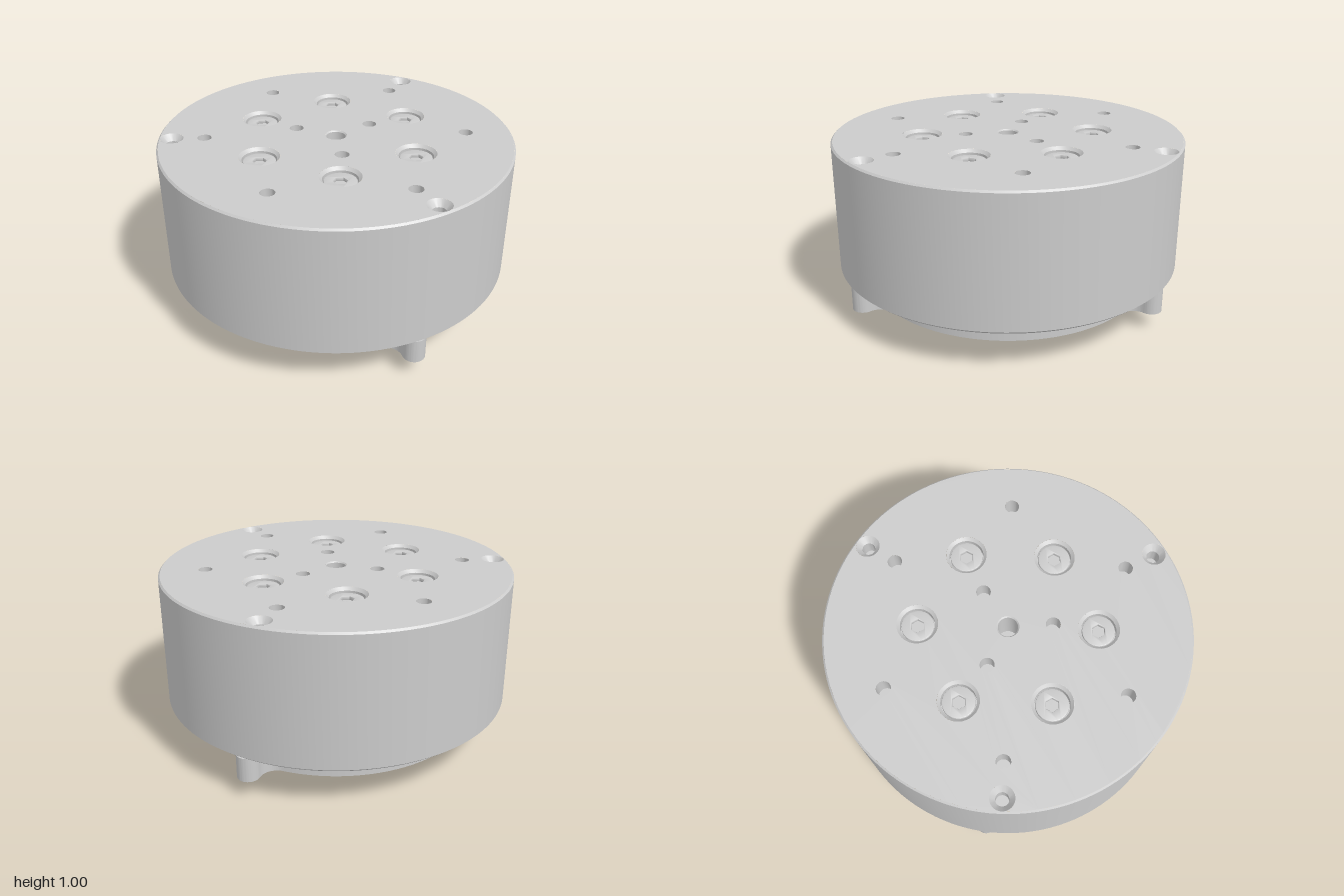
import * as THREE from 'three';
import { toCreasedNormals } from 'three/addons/utils/BufferGeometryUtils.js';

const grey = new THREE.MeshStandardMaterial({ color: 0xcccccc });
const rad = THREE.MathUtils.degToRad;

// n points on a circle of radius r, as [x, z]
const ring = (n, r, startDeg) => Array.from({ length: n }, (_, i) => {
  const a = rad(startDeg + i * 360 / n);
  return [r * Math.cos(a), r * Math.sin(a)];
});

const circle = (x, y, r) => new THREE.Path().absarc(x, y, r, 0, Math.PI * 2, false);

function add(parent, name, geo, x = 0, y = 0, z = 0) {
  const mesh = new THREE.Mesh(toCreasedNormals(geo, 0.5), grey);
  mesh.name = name;
  mesh.position.set(x, y, z);
  parent.add(mesh);
  return mesh;
}

const lathe = (pts, seg = 28) => new THREE.LatheGeometry(pts.map(p => new THREE.Vector2(...p)), seg);

// Flat disc with holes [x, z, r], facing up or down
function disc(r, holes, up) {
  const s = new THREE.Shape().absarc(0, 0, r, 0, Math.PI * 2, false);
  for (const [x, z, hr] of holes) s.holes.push(circle(x, up ? -z : z, hr));
  return new THREE.ShapeGeometry(s, 48).rotateX(up ? -Math.PI / 2 : Math.PI / 2);
}

// Plate hanging from y = 0 down to y = -depth
const plate = (shape, depth, bevel = 0) => new THREE.ExtrudeGeometry(shape, {
  depth: depth - 2 * bevel, curveSegments: 24, bevelEnabled: bevel > 0,
  bevelSize: bevel, bevelOffset: -bevel, bevelThickness: bevel, bevelSegments: 2,
}).rotateX(Math.PI / 2).translate(0, -bevel, 0);

// Socket head cap screw, base on y = 0, head facing up
function capScrew(r, h, socket) {
  const g = new THREE.Group();
  const s = new THREE.Shape().absarc(0, 0, r, 0, Math.PI * 2, false);
  s.holes.push(new THREE.Path(ring(6, socket, 30).map(p => new THREE.Vector2(...p))));
  add(g, 'screwHead', plate(s, h * 0.7, 0.006), 0, h, 0);
  add(g, 'socketFloor', new THREE.CylinderGeometry(r * 0.95, r * 0.95, h * 0.4, 24), 0, h * 0.2, 0);
  return g;
}

// Flange outline: a round disc with three filleted lugs
function flangeShape(R, lugDist, lugR, fillet, startDeg) {
  const s = new THREE.Shape();
  const a = R + fillet, b = lugR + fillet;
  const alpha = Math.acos((a * a + lugDist * lugDist - b * b) / (2 * a * lugDist));
  for (let i = 0; i < 3; i++) {
    const t = rad(startDeg + i * 120);
    const lx = lugDist * Math.cos(t), ly = lugDist * Math.sin(t);
    const c1 = [a * Math.cos(t - alpha), a * Math.sin(t - alpha)];
    const c2 = [a * Math.cos(t + alpha), a * Math.sin(t + alpha)];
    const in1 = Math.atan2(c1[1] - ly, c1[0] - lx), out1 = Math.atan2(c2[1] - ly, c2[0] - lx);
    s.absarc(...c1, fillet, t - alpha + Math.PI, in1 + Math.PI, true);
    s.absarc(lx, ly, lugR, in1, out1, false);
    s.absarc(...c2, fillet, out1 + Math.PI, t + alpha + Math.PI, true);
    s.absarc(0, 0, R, t + alpha, t + rad(120) - alpha, false);
  }
  s.closePath();
  return s;
}

export function createModel() {
  const model = new THREE.Group();

  // Drum body with chamfered rims
  add(model, 'bodyShell', lathe([[0.98, 0.245], [1, 0.262], [1, 0.99], [0.99, 1]], 128));

  // Top face and the pits below its holes; profiles run down from the rim
  const kinds = [
    ['centreBore', [[0, 0]], [[0.062, 1], [0.055, 0.993], [0.055, 0.8], [0, 0.8]]],
    ['innerHole', ring(3, 0.245, -2), [[0.04, 1], [0.04, 0.9], [0, 0.9]]],
    ['outerHole', ring(6, 0.74, 33), [[0.04, 1], [0.04, 0.88], [0, 0.88]]],
    ['boltRecess', ring(6, 0.49, 3), [[0.113, 1], [0.096, 0.983], [0.096, 0.94], [0, 0.94]]],
    ['countersink', ring(3, 0.923, 93), [[0.066, 1], [0.036, 0.965], [0.036, 0.88], [0, 0.88]]],
  ];
  const topHoles = [];
  for (const [name, spots, profile] of kinds) {
    for (const [x, z] of spots) {
      topHoles.push([x, z, profile[0][0]]);
      add(model, name, lathe(profile), x, 0, z);
      if (name === 'boltRecess') {
        const bolt = capScrew(0.09, 0.035, 0.038);
        bolt.name = 'topBolt';
        bolt.position.set(x, 0.94, z);
        model.add(bolt);
      }
    }
  }
  add(model, 'topFace', disc(0.99, topHoles, true), 0, 1, 0);

  // Underside with three small holes
  const underHoles = ring(3, 0.42, 15).map(p => [...p, 0.028]);
  add(model, 'underside', disc(0.98, underHoles, false), 0, 0.245, 0);
  for (const [x, z, r] of underHoles) {
    add(model, 'undersideHole', lathe([[0, 0.32], [r, 0.32], [r, 0.245]].reverse().map(([a, b]) => [a, -b]))
      .rotateX(Math.PI), x, 0, z);
  }

  // Mounting flange with three lugs
  const flange = flangeShape(0.815, 0.928, 0.062, 0.09, 99.3);
  flange.holes.push(circle(0, 0, 0.645));
  for (const [x, z] of ring(6, 0.745, 39.3)) flange.holes.push(circle(x, z, 0.043));
  for (const [x, z] of ring(3, 0.928, 99.3)) flange.holes.push(circle(x, z, 0.034));
  add(model, 'mountingFlange', plate(flange, 0.14), 0, 0.245, 0);
  // Sloped step inside the flange bore
  add(model, 'boreStep', lathe([[0.645, 0.215], [0.59, 0.225], [0.59, 0.245]], 96));

  // Cover: square plate with cut corners
  const w = 0.408, c = 0.1;
  const base = new THREE.Shape([
    [w, c - w], [w, w - c], [w - c, w], [c - w, w], [-w, w - c], [-w, c - w], [c - w, -w], [w - c, -w],
  ].map(p => new THREE.Vector2(...p)));
  add(model, 'coverBase', plate(base, 0.185, 0.006), 0, 0.245, 0);

  // Raised cross of the cover, with rounded pockets at the corners
  const cross = new THREE.Shape();
  const p = 0.21, f = 0.07;
  for (let i = 0; i < 4; i++) {
    const rot = (x, y) => {
      const k = [[1, 0], [0, 1], [-1, 0], [0, -1]][i];
      return [x * k[0] - y * k[1], x * k[1] + y * k[0]];
    };
    if (i === 0) cross.moveTo(...rot(w, -p));
    else cross.lineTo(...rot(w, -p));
    cross.lineTo(...rot(w, p));
    cross.lineTo(...rot(p + f, p));
    cross.quadraticCurveTo(...rot(p, p), ...rot(p, p + f));
  }
  cross.closePath();
  cross.holes.push(circle(0, 0, 0.075));
  add(model, 'coverCross', plate(cross, 0.075, 0.012), 0, 0.075, 0);
  add(model, 'coverCentreRing', new THREE.TorusGeometry(0.055, 0.014, 10, 32).rotateX(Math.PI / 2), 0, 0.055, 0);

  // Cover screws, heads facing down
  for (const [x, z] of ring(4, 0.435, 45)) {
    const screw = capScrew(0.055, 0.04, 0.026);
    screw.name = 'coverScrew';
    screw.rotation.x = Math.PI;
    screw.position.set(x, 0.062, z);
    model.add(screw);
  }

  // Connector frame at the back and slot bar on the left side
  const frame = new THREE.Shape([[-0.06, -0.035], [0.06, -0.035], [0.06, 0.035], [-0.06, 0.035]]
    .map(q => new THREE.Vector2(...q)));
  frame.holes.push(new THREE.Path([[-0.04, -0.022], [-0.04, 0.022], [0.04, 0.022], [0.04, -0.022]]
    .map(q => new THREE.Vector2(...q))));
  add(model, 'connectorFrame', new THREE.ExtrudeGeometry(frame, { depth: 0.02, bevelEnabled: false }), 0, 0.11, -w - 0.014);
  add(model, 'sideRib', new THREE.BoxGeometry(0.014, 0.02, 0.4), w, 0.11, 0);

  return model;
}
